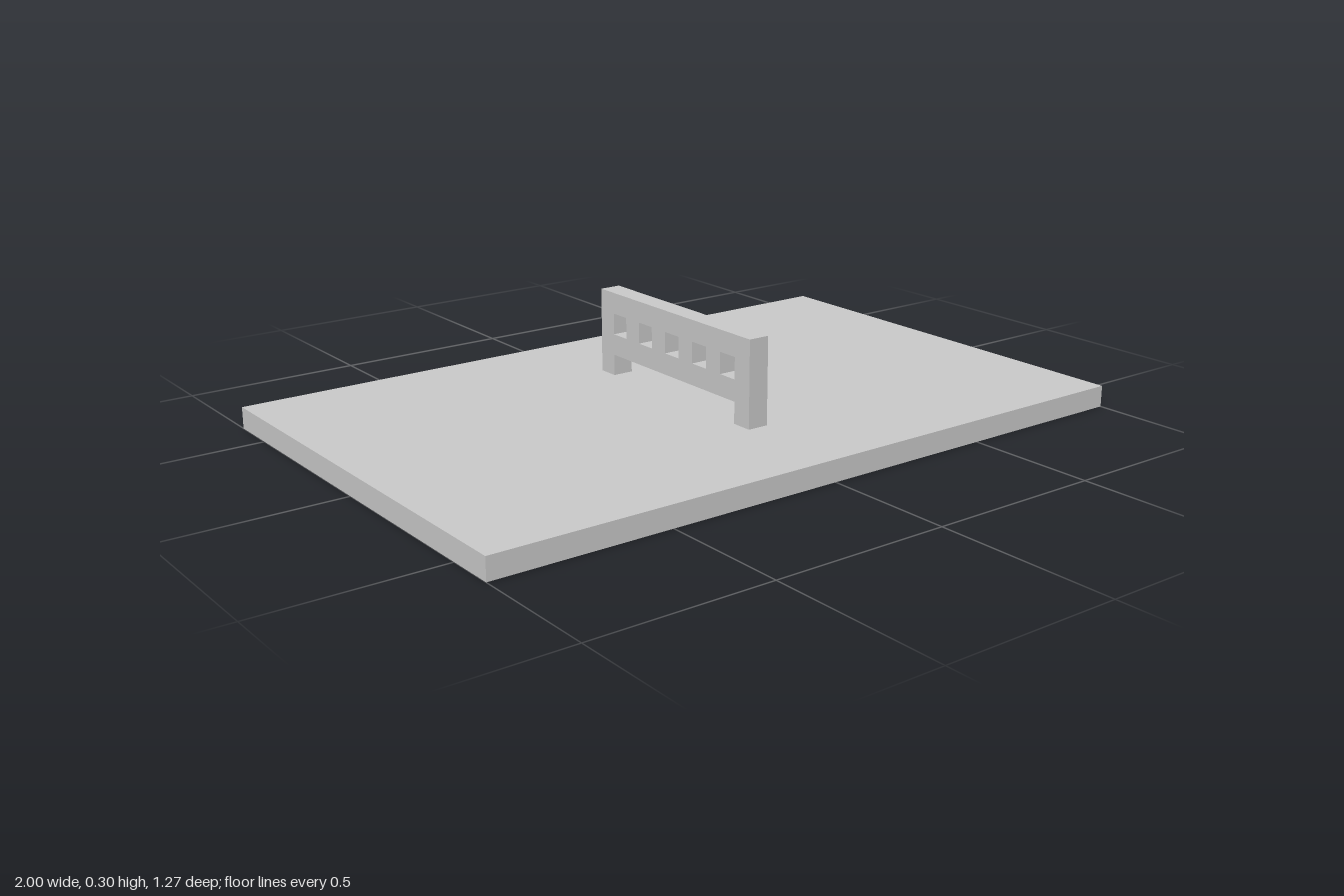
import * as THREE from 'three';

const U = 2 / 33; // modular unit shared by all parts

function rectPath(path, x, y, w, h) {
  path.moveTo(x, y);
  path.lineTo(x + w, y);
  path.lineTo(x + w, y + h);
  path.lineTo(x, y + h);
  path.closePath();
  return path;
}

export function createModel() {
  const group = new THREE.Group();
  const material = new THREE.MeshStandardMaterial({ color: 0xcccccc, flatShading: true });

  // Flat table slab
  const slab = new THREE.Mesh(new THREE.BoxGeometry(33 * U, U, 21 * U), material);
  slab.name = 'tableTop';
  slab.position.y = U / 2;
  group.add(slab);

  // Net outline: a beam on two short legs
  const outline = [[-5.5, 0], [-4.5, 0], [-4.5, 1], [4.5, 1], [4.5, 0], [5.5, 0], [5.5, 4], [-5.5, 4]];
  const shape = new THREE.Shape(outline.map(([x, y]) => new THREE.Vector2(x * U, y * U)));

  // Row of five square openings
  for (let i = -2; i <= 2; i++) {
    shape.holes.push(rectPath(new THREE.Path(), (2 * i - 0.5) * U, 2 * U, U, U));
  }

  // Extruded across the table and turned to run front to back
  const netGeometry = new THREE.ExtrudeGeometry(shape, { depth: U, bevelEnabled: false });
  netGeometry.translate(0, 0, -U / 2);
  netGeometry.rotateY(Math.PI / 2);
  const net = new THREE.Mesh(netGeometry, material);
  net.name = 'net';
  net.position.y = U;
  group.add(net);

  return group;
}
